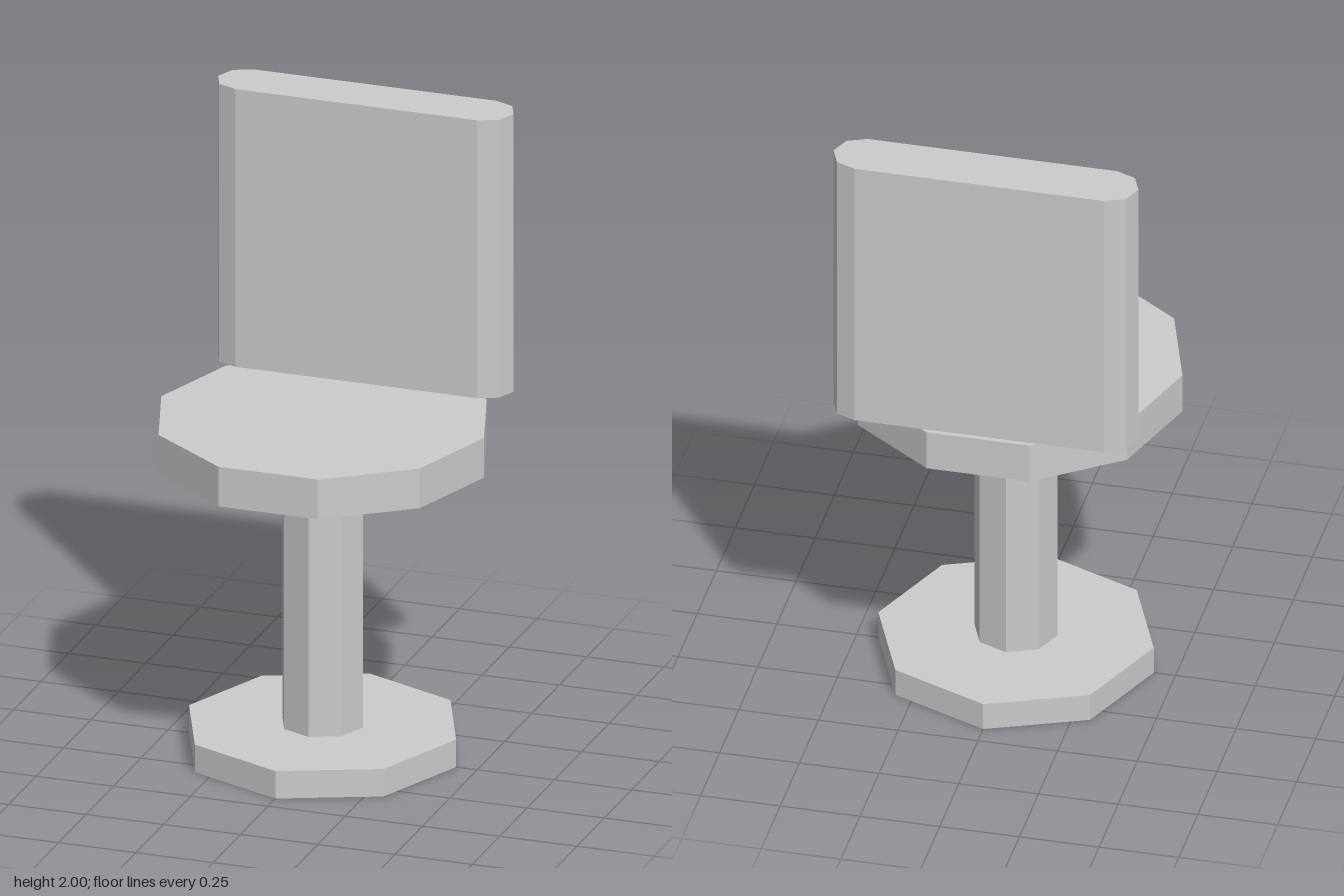
import * as THREE from 'three';

const material = new THREE.MeshStandardMaterial({ color: 0xcccccc, flatShading: true });

function addMesh(group, name, geometry) {
  const mesh = new THREE.Mesh(geometry, material);
  mesh.name = name;
  group.add(mesh);
}

// Upright prism from y0 to y1 with one corner on the +x axis
function prism(radius, y0, y1, sides) {
  return new THREE.CylinderGeometry(radius, radius, y1 - y0, sides, 1, false, Math.PI / 2)
    .translate(0, (y0 + y1) / 2, 0);
}

export function createModel() {
  const stool = new THREE.Group();
  stool.name = 'stool';

  // Pedestal and seat
  addMesh(stool, 'base', prism(0.432, 0, 0.09, 8));
  addMesh(stool, 'post', prism(0.13, 0.09, 0.96, 8));
  addMesh(stool, 'seat', prism(0.522, 0.96, 1.09, 10));

  // Backrest: slab with half-octagon ends, extruded upward
  const halfWidth = 0.391, endRadius = 0.087, backZ = -0.394;
  const outline = [];
  for (const side of [1, -1]) {
    for (let i = 0; i <= 4; i++) {
      const a = -Math.PI / 2 + i * Math.PI / 4;
      outline.push(new THREE.Vector2(
        side * (halfWidth + endRadius * Math.cos(a)),
        side * endRadius * Math.sin(a)
      ));
    }
  }
  const back = new THREE.ExtrudeGeometry(new THREE.Shape(outline), { depth: 0.91, bevelEnabled: false })
    .rotateX(-Math.PI / 2)
    .translate(0, 1.09, backZ);
  addMesh(stool, 'backrest', back);

  return stool;
}
